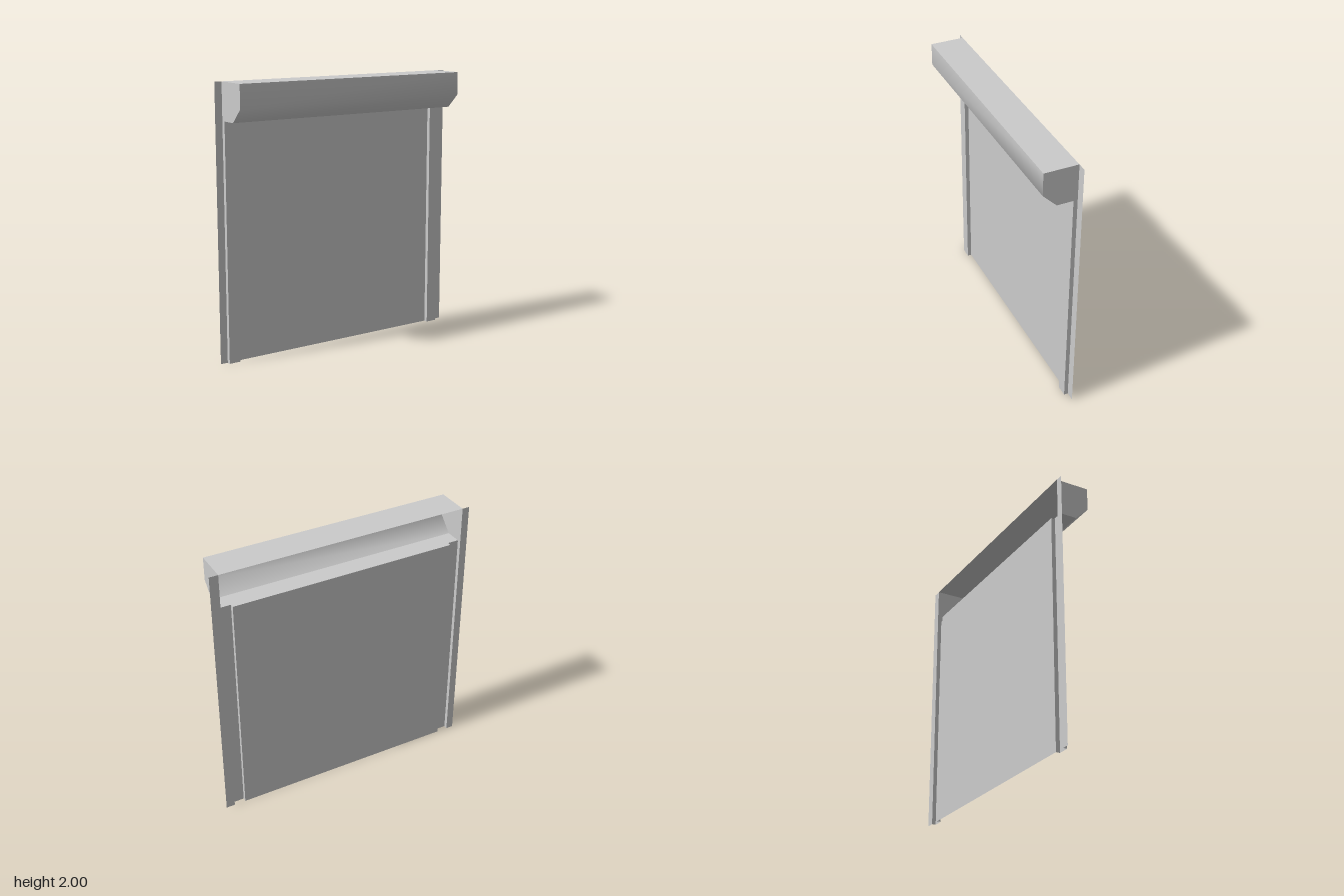
import * as THREE from 'three';

// Main dimensions
const BACK = -0.125, FRONT = 0.125, RAIL = -0.095;   // depths
const TOP = 2, HOOD = 1.73;                          // heights
const X = { out: [-1, 1], end: [-0.945, 0.934], inner: [-0.86, 0.848] };

const steel = new THREE.MeshStandardMaterial({ color: 0xcccccc, side: THREE.DoubleSide });

function addMesh(parent, name, geometry) {
  const mesh = new THREE.Mesh(geometry, steel);
  mesh.name = name;
  parent.add(mesh);
  return mesh;
}

// Open sheet: a row of [x, y, z] points swept along a vector
function sheet(points, [dx, dy, dz], smooth = false) {
  const positions = [], index = [];
  points.forEach(([x, y, z], i) => {
    positions.push(x, y, z, x + dx, y + dy, z + dz);
    const a = i * 2;
    if (i < points.length - 1) index.push(a, a + 2, a + 1, a + 1, a + 2, a + 3);
  });
  let g = new THREE.BufferGeometry();
  g.setAttribute('position', new THREE.Float32BufferAttribute(positions, 3));
  g.setIndex(index);
  if (!smooth) g = g.toNonIndexed();
  g.computeVertexNormals();
  return g;
}

const flatShape = (pts) =>
  new THREE.ShapeGeometry(new THREE.Shape(pts.map(([x, y]) => new THREE.Vector2(x, y))));

export function createModel() {
  const model = new THREE.Group();
  model.name = 'rollerShutter';
  const [left, right] = X.end;
  const width = right - left;

  // Flat shutter curtain between the rails
  addMesh(model, 'curtain',
    sheet([[X.inner[0], 0, BACK], [X.inner[1], 0, BACK]], [0, HOOD, 0]));

  // Guide rails: raised channel plus a wall flange running to full height
  ['rightRail', 'leftRail'].forEach((name, i) => {
    const rail = new THREE.Group();
    rail.name = name;
    const channel = [[X.end[i], 0, BACK], [X.end[i], 0, RAIL], [X.inner[i], 0, RAIL], [X.inner[i], 0, BACK]];
    const flange = [[X.out[i], 0, BACK], [X.end[i], 0, BACK]];
    if (i === 1) { channel.reverse(); flange.reverse(); }
    addMesh(rail, 'channel', sheet(channel, [0, HOOD, 0]));
    addMesh(rail, 'flange', sheet(flange, [0, TOP, 0]));
    model.add(rail);
  });

  // Hood, open at the back
  const hood = new THREE.Group();
  hood.name = 'hood';
  model.add(hood);
  const chin = [0.024, HOOD], brow = [FRONT, 1.83];

  addMesh(hood, 'hoodTop', sheet([[left, TOP, FRONT], [left, TOP, BACK]], [width, 0, 0]).scale(1, 1, 1));
  // Front and sloping chin share smooth normals
  addMesh(hood, 'hoodFront',
    sheet([[left, chin[1], chin[0]], [left, brow[1], brow[0]], [left, TOP, FRONT]].reverse(), [width, 0, 0], true));

  // Underside, notched around the rail channels
  const underside = flatShape([
    [left, chin[0]], [left, RAIL], [X.inner[0], RAIL], [X.inner[0], BACK],
    [X.inner[1], BACK], [X.inner[1], RAIL], [right, RAIL], [right, chin[0]],
  ]);
  addMesh(hood, 'hoodUnderside', underside.rotateX(Math.PI / 2).translate(0, HOOD, 0));

  // End caps, drawn in (z, y) and turned to face sideways
  [left, right].forEach((x, i) => {
    const cap = flatShape([[-BACK, HOOD], [-BACK, TOP], [-FRONT, TOP], [-brow[0], brow[1]], [-chin[0], chin[1]]]);
    addMesh(hood, i ? 'leftEndCap' : 'rightEndCap', cap.rotateY(Math.PI / 2).translate(x, 0, 0));
  });
  return model;
}
